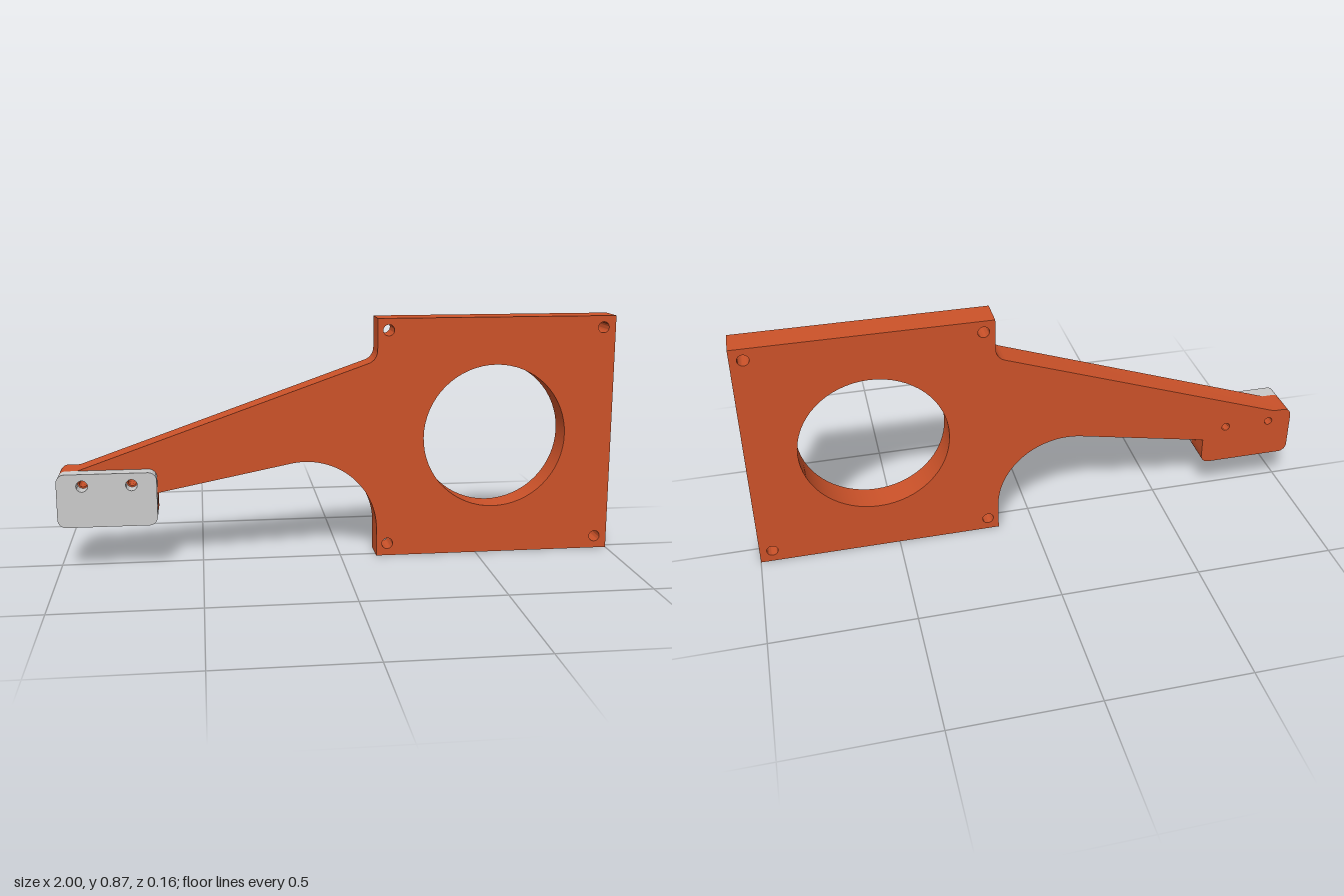
import * as THREE from 'three';
import { toCreasedNormals } from 'three/addons/utils/BufferGeometryUtils.js';

const BACK = -0.08, FACE = 0.025, FRONT = 0.08; // z levels: plate back, plate face, clamp front
const LEFT = -1, RIGHT = -0.655, BOTTOM = 0.16, TOP = 0.35, R = 0.03; // clamp outline
const SLOT_LOW = 0.215, SLOT_HIGH = 0.255, SLOT_Z = -0.015; // belt slot

const orange = new THREE.MeshStandardMaterial({ color: 0xcc5229 });
const grey = new THREE.MeshStandardMaterial({ color: 0xcccccc });

function drill(shape, x, y, r) {
  shape.holes.push(new THREE.Path().absarc(x, y, r, 0, Math.PI * 2, true));
}

function slab(name, shape, z0, z1, material) {
  const geo = new THREE.ExtrudeGeometry(shape, { depth: z1 - z0, bevelEnabled: false, curveSegments: 32 });
  geo.translate(0, 0, z0);
  const mesh = new THREE.Mesh(toCreasedNormals(geo, 0.5), material);
  mesh.name = name;
  return mesh;
}

// Rectangle with separate radii for the bottom and top corners
function roundedRect(x0, y0, x1, y1, rb, rt) {
  const s = new THREE.Shape();
  s.moveTo(x0 + rb, y0);
  s.lineTo(x1 - rb, y0);
  if (rb) s.absarc(x1 - rb, y0 + rb, rb, -Math.PI / 2, 0);
  s.lineTo(x1, y1 - rt);
  if (rt) s.absarc(x1 - rt, y1 - rt, rt, 0, Math.PI / 2);
  s.lineTo(x0 + rt, y1);
  if (rt) s.absarc(x0 + rt, y1 - rt, rt, Math.PI / 2, Math.PI);
  s.lineTo(x0, y0 + rb);
  if (rb) s.absarc(x0 + rb, y0 + rb, rb, Math.PI, Math.PI * 1.5);
  return s;
}

export function createModel() {
  const model = new THREE.Group();
  const clampHoles = [-0.912, -0.742];

  // Motor plate and tapering arm, down to the top of the belt slot
  const body = new THREE.Shape();
  body.moveTo(0.13, 0);
  body.lineTo(1, 0);
  body.lineTo(1, 0.87);
  body.lineTo(0.13, 0.87);
  body.lineTo(0.13, 0.76);
  body.quadraticCurveTo(0.13, 0.722, 0.095, 0.71);
  body.lineTo(-0.93, TOP);
  body.lineTo(LEFT + R, TOP);
  body.absarc(LEFT + R, TOP - R, R, Math.PI / 2, Math.PI);
  body.lineTo(LEFT, SLOT_HIGH);
  body.lineTo(RIGHT, SLOT_HIGH);
  body.lineTo(RIGHT, 0.262);
  body.absarc(-0.13, 0.1, 0.26, Math.PI * 0.563, 0, true);
  drill(body, 0.562, 0.437, 0.262);
  for (const x of [0.17, 0.955]) for (const y of [0.045, 0.828]) drill(body, x, y, 0.02);
  for (const x of clampHoles) drill(body, x, 0.307, 0.015);
  model.add(slab('plateAndArm', body, BACK, FACE, orange));

  // Back wall of the belt slot and the jaw below it
  model.add(slab('slotWall', roundedRect(LEFT, SLOT_LOW, RIGHT, SLOT_HIGH, 0, 0), BACK, SLOT_Z, orange));
  model.add(slab('lowerJaw', roundedRect(LEFT, BOTTOM, RIGHT, SLOT_LOW, R, 0), BACK, FACE, orange));

  // Clamp cover
  const cover = roundedRect(LEFT, BOTTOM, RIGHT, TOP, R, R);
  for (const x of clampHoles) drill(cover, x, 0.307, 0.02);
  model.add(slab('clampCover', cover, FACE, FRONT, grey));

  return model;
}
